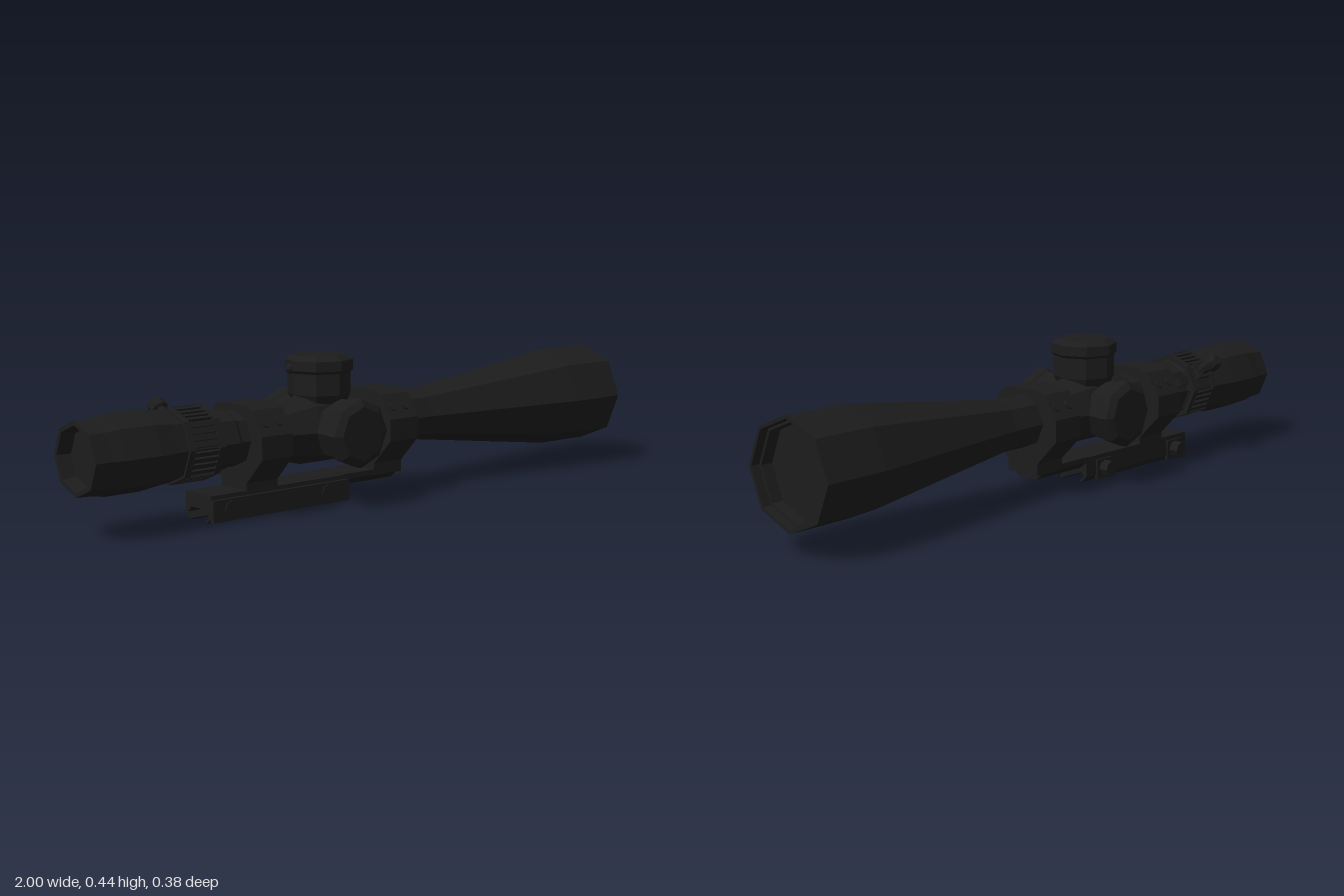
import * as THREE from 'three';

const black = new THREE.MeshStandardMaterial({ color: 0x1c1c1c });
black.name = 'matte black';
const AXIS_Y = 0.223;
const TURRET_X = -0.165;

// Adds a faceted mesh to a parent
function add(parent, name, geometry) {
  const geo = geometry.index ? geometry.toNonIndexed() : geometry;
  geo.computeVertexNormals();
  const mesh = new THREE.Mesh(geo, black);
  mesh.name = name;
  parent.add(mesh);
  return mesh;
}

// Revolves [radius, height] pairs around y
function lathe(points, sides = 8) {
  return new THREE.LatheGeometry(points.map(([r, h]) => new THREE.Vector2(r, h)), sides);
}

// Extrudes a mirrored half outline of [z, y] pairs along x
function extrudeX(half, x0, x1) {
  const outline = [...half, ...half.slice().reverse().map(([u, v]) => [-u, v])];
  const shape = new THREE.Shape(outline.map(([u, v]) => new THREE.Vector2(u, v)));
  const geo = new THREE.ExtrudeGeometry(shape, { depth: x1 - x0, bevelEnabled: false });
  return geo.rotateY(Math.PI / 2).translate(x0, 0, 0);
}

// Group on the tube axis whose +y points outward at an angle from straight up towards +z
function radialGroup(parent, name, x, angle) {
  const group = new THREE.Group();
  group.name = name;
  group.position.set(x, AXIS_Y, 0);
  group.rotation.x = angle;
  parent.add(group);
  return group;
}

function buildTube(scope) {
  // Eyepiece, tube, turret saddle and objective bell in one profile, recessed at both ends
  const profile = [
    [0, -0.96], [0.082, -0.96], [0.09, -1], [0.103, -1], [0.105, -0.95], [0.112, -0.91],
    [0.112, -0.8], [0.104, -0.74], [0.1, -0.7], [0.1, -0.59], [0.086, -0.58], [0.086, -0.52],
    [0.081, -0.51], [0.081, -0.33], [0.104, -0.24], [0.104, -0.09], [0.081, 0],
    [0.081, 0.22], [0.157, 0.8], [0.158, 1], [0.148, 1], [0.146, 0.975],
    [0.138, 0.975], [0.136, 0.94], [0, 0.94],
  ];
  add(scope, 'scopeTube', lathe(profile).rotateZ(-Math.PI / 2)).position.y = AXIS_Y;
}

function buildPowerRing(scope) {
  // End collars
  for (const [x0, x1] of [[-0.705, -0.685], [-0.605, -0.585]]) {
    const collar = lathe([[0, x0], [0.108, x0], [0.108, x1], [0, x1]]);
    add(scope, 'powerRingCollar', collar.rotateZ(-Math.PI / 2)).position.y = AXIS_Y;
  }
  // Grip ribs, four on each flat
  for (let side = 0; side < 8; side++) {
    const flat = radialGroup(scope, 'powerRingFlat', -0.645, (side + 0.5) * Math.PI / 4);
    for (let i = 0; i < 4; i++) {
      add(flat, 'gripRib', new THREE.BoxGeometry(0.09, 0.014, 0.01))
        .position.set(0, 0.094, (i - 1.5) * 0.019);
    }
  }
  // Throw lever and index mark
  const lever = radialGroup(scope, 'throwLever', -0.642, -0.99);
  add(lever, 'leverKnob', lathe([
    [0.018, 0.08], [0.018, 0.145], [0.027, 0.15], [0.027, 0.172], [0.018, 0.186], [0, 0.186],
  ]));
  add(lever, 'leverBase', new THREE.BoxGeometry(0.06, 0.03, 0.05)).position.y = 0.1;
  const mark = radialGroup(scope, 'indexMark', -0.543, -Math.PI * 3 / 8);
  add(mark, 'indexBlock', new THREE.BoxGeometry(0.045, 0.03, 0.03)).position.y = 0.09;
}

function buildTurrets(scope) {
  // Elevation on top, one knob on each side
  const knobs = [
    ['elevationTurret', 0, 0.163, 0.214],
    ['leftTurret', Math.PI / 2, 0.146, 0.199],
    ['rightTurret', -Math.PI / 2, 0.132, 0.185],
  ];
  for (const [name, angle, start, end] of knobs) {
    const turret = radialGroup(scope, name, TURRET_X, angle);
    add(turret, 'turretNeck', lathe([[0.07, 0.05], [0.092, 0.1], [0.092, start + 0.002]]));
    add(turret, 'turretCap', lathe([
      [0, start], [0.092, start], [0.1, start + 0.008], [0.1, end - 0.014],
      [0.079, end], [0, end],
    ]));
  }
  // Small pointer on the elevation cap
  add(scope, 'turretPointer', new THREE.SphereGeometry(0.015, 8, 6))
    .position.set(TURRET_X - 0.096, 0.4, -0.015);
}

function buildMount(scope) {
  // Rings with a pair of screws on each shoulder
  const ringHalf = [
    [0.058, 0.065], [0.058, 0.1], [0.13, 0.175], [0.13, 0.24], [0.085, 0.31], [0.055, 0.32],
  ];
  for (const x of [-0.48, 0]) {
    add(scope, 'mountRing', extrudeX(ringHalf, x, x + 0.11));
    for (const side of [-1, 1]) {
      for (const dx of [0.03, 0.08]) {
        const screw = add(scope, 'ringScrew', new THREE.CylinderGeometry(0.016, 0.016, 0.012, 8));
        screw.position.set(x + dx, 0.275, side * 0.1075);
        screw.rotation.x = side * 1.0;
      }
    }
  }
  // Forward arm, narrowed beneath
  add(scope, 'mountArm', extrudeX([[0.035, 0.046], [0.058, 0.066], [0.058, 0.082]], -0.12, 0.09));
  add(scope, 'armTip', extrudeX([[0.058, 0.064], [0.058, 0.082]], 0.09, 0.11));

  // Rail base with a hooked slot underneath
  add(scope, 'railBase', extrudeX([
    [0.034, 0.038], [0.048, 0.022], [0.034, 0.005], [0.039, 0], [0.06, 0.02], [0.058, 0.08],
  ], -0.605, -0.11));
  add(scope, 'clampPlate', new THREE.BoxGeometry(0.495, 0.062, 0.015))
    .position.set(-0.3575, 0.037, 0.063);

  // Clamp bolts with nuts on the far side
  for (const x of [-0.54, -0.19]) {
    const bolt = add(scope, 'clampBolt', new THREE.CylinderGeometry(0.026, 0.026, 0.008, 8));
    bolt.rotation.x = Math.PI / 2;
    bolt.position.set(x, 0.038, 0.07);
    const nut = add(scope, 'clampNut', new THREE.CylinderGeometry(0.025, 0.025, 0.04, 8));
    nut.rotation.x = Math.PI / 2;
    nut.position.set(x, 0.037, -0.074);
    add(scope, 'nutWasher', new THREE.BoxGeometry(0.07, 0.06, 0.01)).position.set(x, 0.037, -0.06);
  }
}

export function createModel() {
  const model = new THREE.Group();
  model.name = 'rifleScope';
  const scope = new THREE.Group();
  scope.name = 'scopeAssembly';
  scope.position.z = -0.006;
  model.add(scope);
  buildTube(scope);
  buildPowerRing(scope);
  buildTurrets(scope);
  buildMount(scope);
  return model;
}
